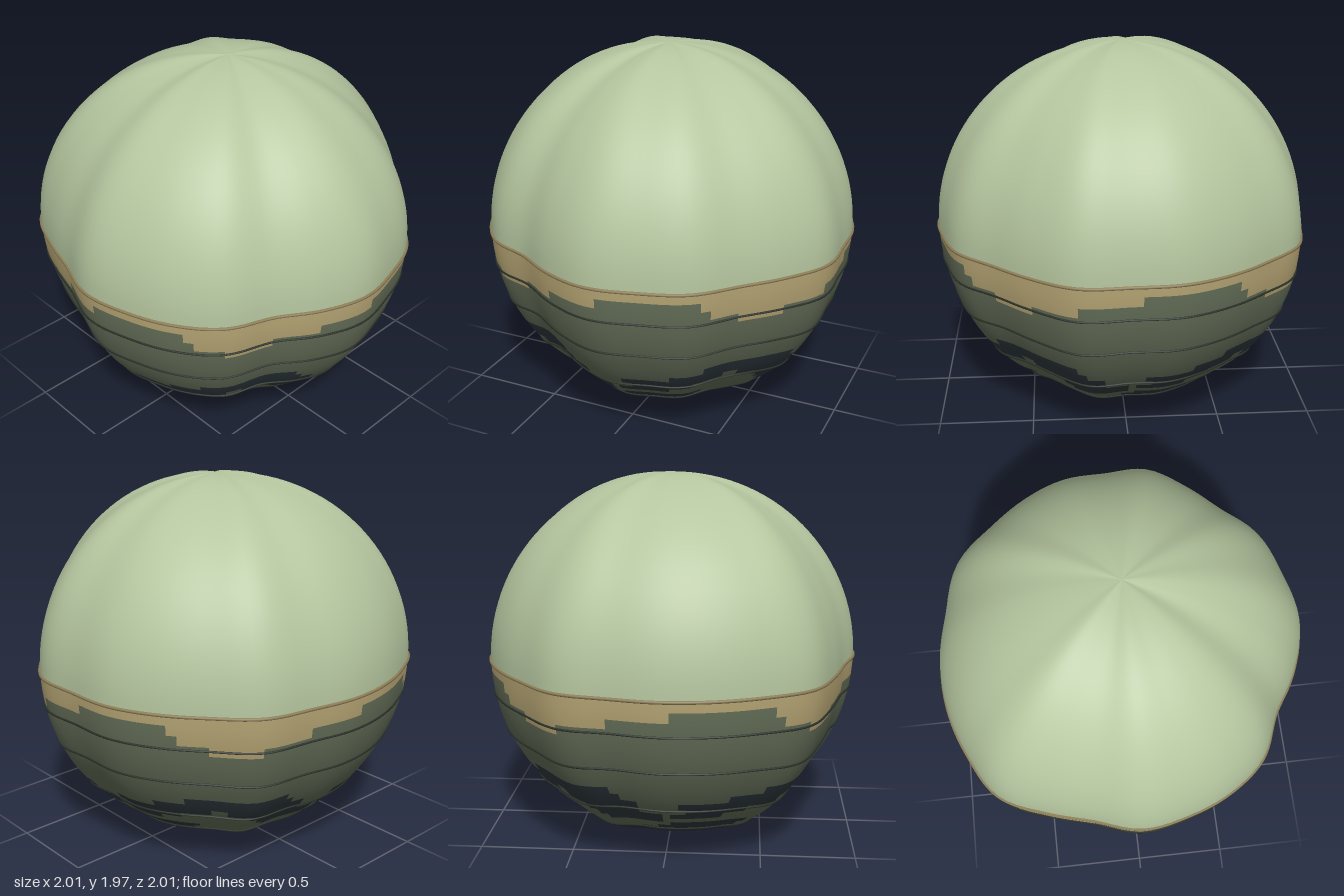
import * as THREE from 'three';

const R = 0.985, RAD = Math.PI / 180, COLS = 120, STEP = 3;

// Lobed rim radius every 15 degrees, measured from +x towards +z
const RIM = [0.985, 1.015, 0.975, 0.953, 0.99, 0.982, 0.993, 0.952, 0.915, 0.975, 0.985, 0.985,
  0.995, 0.955, 0.985, 1.045, 1.02, 1.008, 1.0, 0.99, 1.025, 0.995, 0.995, 1.0];

function rimRadius(theta) {
  const t = (((theta % 360) + 360) % 360) / 15, i = Math.floor(t), u = t - i;
  const [a, b, c, d] = [-1, 0, 1, 2].map(k => RIM[(i + k + 24) % 24]);
  return b + 0.5 * u * (c - a + u * (2 * a - 5 * b + 4 * c - d + u * (3 * (b - c) + d - a)));
}

// Point on the lobed ball; lobes fade towards both poles. Angle runs from +z to +x.
function point(lat, angle, lift = 0) {
  const c = Math.cos(lat * RAD);
  const r = R + (rimRadius(90 - angle) - R) * c + lift;
  return new THREE.Vector3(
    r * c * Math.sin(angle * RAD), R + r * Math.sin(lat * RAD), r * c * Math.cos(angle * RAD));
}

// Blocky camouflage: per 3-degree row below the rim, angle ranges repeating every 90 degrees
const TAN = 0, OLIVE = 1, NAVY = 2;
const PATCHES = {
  1: [OLIVE, [3, 33]],
  2: [OLIVE, [-15, 36]],
  3: [TAN, [-45, -30]],
  10: [NAVY, [-54, -18]],
  11: [NAVY, [-66, -15]],
  12: [NAVY, [6, 45], [-39, -9]],
  13: [NAVY, [9, 33], [-30, -9]],
  14: [NAVY, [3, 24], [-27, 0]],
  15: [NAVY, [-24, 0]],
  16: [NAVY, [3, 39]],
  17: [NAVY, [-3, 36]],
  18: [NAVY, [-12, 30]],
};

function camoColour(row, angle) {
  const base = row < 3 ? TAN : row < 19 ? OLIVE : NAVY;
  if (!PATCHES[row]) return base;
  const [colour, ...ranges] = PATCHES[row];
  const hit = ranges.some(([s, e]) => (((angle - s) % 90) + 90) % 90 < e - s);
  return hit ? colour : base;
}

// Closed grid between two latitudes, with one geometry group per colour
function shell(latLow, latHigh, pick, count) {
  const rows = (latHigh - latLow) / STEP;
  const pos = [], lists = Array.from({ length: count }, () => []);
  for (let j = 0; j <= rows; j++)
    for (let i = 0; i < COLS; i++) pos.push(...point(latLow + j * STEP, i * STEP).toArray());
  for (let j = 0; j < rows; j++)
    for (let i = 0; i < COLS; i++) {
      const n = (i + 1) % COLS;
      const a = j * COLS + i, b = j * COLS + n, c = b + COLS, d = a + COLS;
      lists[pick(rows - 1 - j, (i + 0.5) * STEP)].push(a, b, c, a, c, d);
    }
  const geo = new THREE.BufferGeometry();
  geo.setAttribute('position', new THREE.Float32BufferAttribute(pos, 3));
  geo.setIndex(lists.flat());
  let start = 0;
  lists.forEach((list, k) => {
    geo.addGroup(start, list.length, k);
    start += list.length;
  });
  geo.computeVertexNormals();
  return geo;
}

// Thin cord that follows the lobed surface at one latitude
function cord(lat, thickness) {
  const pts = [];
  for (let a = 0; a < 360; a += 5) pts.push(point(lat, a, 0.002));
  return new THREE.TubeGeometry(new THREE.CatmullRomCurve3(pts, true), 180, thickness, 6, true);
}

function material(name, color) {
  const m = new THREE.MeshStandardMaterial({ color });
  m.name = name;
  return m;
}

export function createModel() {
  const model = new THREE.Group();
  model.name = 'lobedBall';
  const sage = material('sageGreen', 0xb5c69f);
  const tan = material('sandTan', 0xb5a473);
  const olive = material('darkOlive', 0x646e58);
  const navy = material('slateNavy', 0x2d383d);
  const rimBrown = material('rimBrown', 0x8f8058);
  const cordDark = material('cordDark', 0x2b3229);

  const add = (name, geo, mat) => {
    const mesh = new THREE.Mesh(geo, mat);
    mesh.name = name;
    model.add(mesh);
  };

  // Smooth dome and patterned lower bowl
  add('dome', shell(0, 90, () => 0, 1), [sage]);
  add('camouflageBowl', shell(-90, 0, camoColour, 3), [tan, olive, navy]);

  // Rim bead and the four seams below it
  add('rimBead', cord(0, 0.009), rimBrown);
  [-10.2, -22.4, -39.8, -55].forEach((lat, i) => add('seam' + (i + 1), cord(lat, 0.006), cordDark));

  return model;
}
